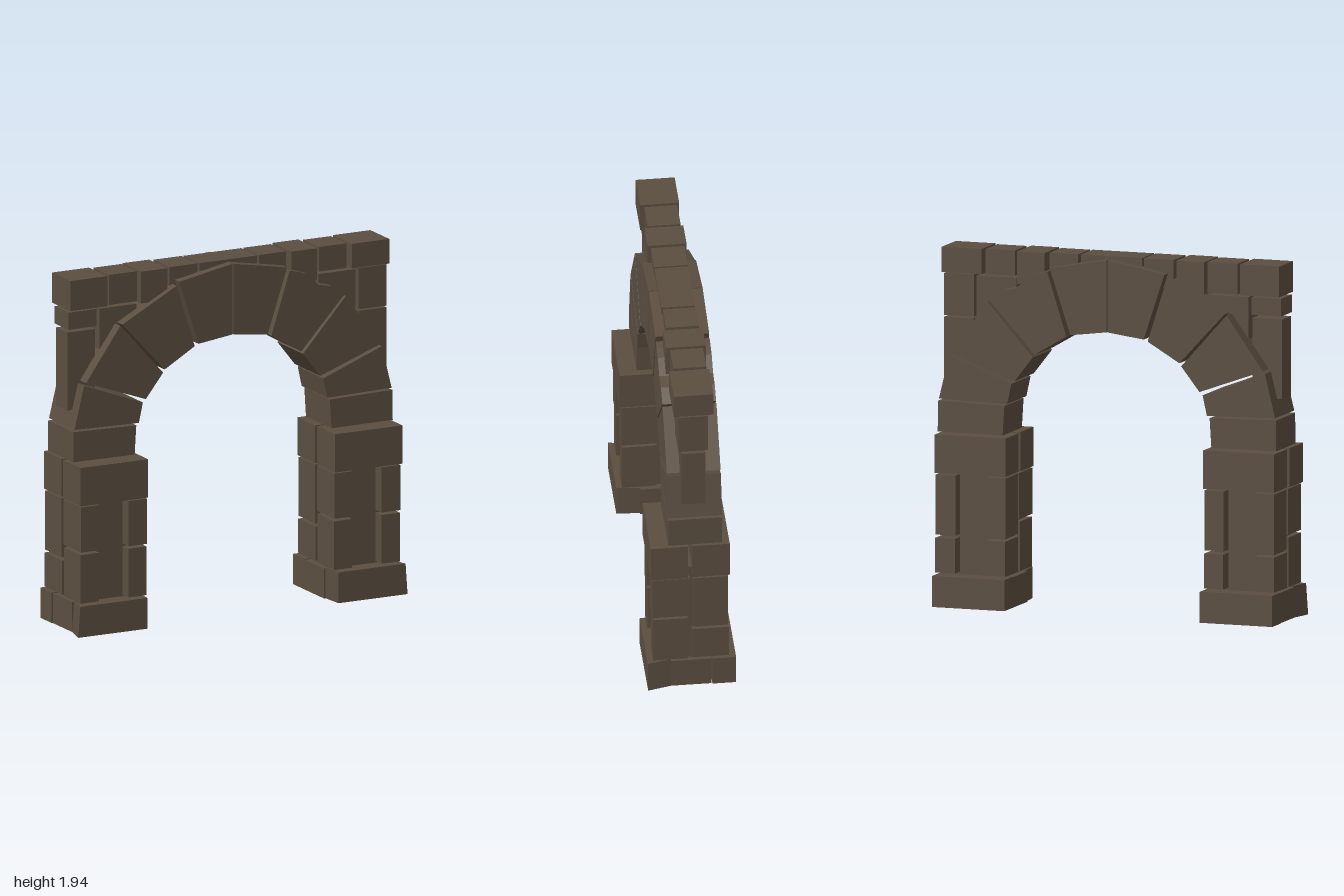
import * as THREE from 'three';

const stone = new THREE.MeshStandardMaterial({ color: 0x5b4e40 });
stone.name = 'brown stone';
stone.flatShading = true;

// Block given by its limits on each axis; side mirrors it across x = 0
function block(parent, name, side, [x0, x1], [y0, y1], [z0, z1]) {
  const mesh = new THREE.Mesh(new THREE.BoxGeometry(x1 - x0, y1 - y0, z1 - z0), stone);
  mesh.position.set(side * (x0 + x1) / 2, (y0 + y1) / 2, (z0 + z1) / 2);
  mesh.name = name;
  parent.add(mesh);
  return mesh;
}

// Outline in x, y extruded between z0 and z1
function prism(parent, name, side, points, z0, z1) {
  const shape = new THREE.Shape(points.map(([x, y]) => new THREE.Vector2(side * x, y)));
  const geo = new THREE.ExtrudeGeometry(shape, { depth: z1 - z0, bevelEnabled: false });
  geo.translate(0, 0, z0);
  const mesh = new THREE.Mesh(geo, stone);
  mesh.name = name;
  parent.add(mesh);
  return mesh;
}

function pillar(side) {
  const g = new THREE.Group();
  g.name = side > 0 ? 'leftPillar' : 'rightPillar';

  // Footing: flared front stone, middle stone, back stone
  const foot = prism(g, 'footingFront', side,
    [[0.58, -0.237], [1.0, -0.237], [0.97, -0.11], [0.57, -0.11]], 0, 0.17);
  foot.geometry.rotateX(-Math.PI / 2);
  // Lean the outer end of the front stone slightly inward at the top
  const p = foot.geometry.attributes.position;
  for (let i = 0; i < p.count; i++) {
    if (p.getY(i) > 0.1 && Math.abs(p.getX(i)) > 0.9) p.setX(i, p.getX(i) * 0.988);
  }
  foot.geometry.computeVertexNormals();
  block(g, 'footingMiddle', side, [0.56, 0.97], [0, 0.165], [-0.108, 0.11]);
  block(g, 'footingBack', side, [0.56, 0.975], [0, 0.168], [-0.24, -0.112]);

  // Recessed core
  block(g, 'core', side, [0.6, 0.94], [0.16, 0.77], [-0.125, 0.14]);

  // Corner stones, two high at the front and back
  for (const [x0, x1] of [[0.57, 0.68], [0.857, 0.97]]) {
    block(g, 'cornerStone', side, [x0, x1], [0.178, 0.447], [0.02, 0.207]);
    block(g, 'cornerStone', side, [x0, x1], [0.462, 0.712], [0.01, 0.211]);
    block(g, 'cornerStone', side, [x0, x1], [0.182, 0.37], [-0.202, -0.003]);
    block(g, 'cornerStone', side, [x0, x1], [0.387, 0.712], [-0.197, -0.01]);
  }

  // Pair of capping stones
  block(g, 'capFront', side, [0.567, 0.977], [0.72, 0.932], [0.02, 0.22]);
  block(g, 'capBack', side, [0.567, 0.972], [0.722, 0.93], [-0.206, -0.005]);
  return g;
}

// Wedge stones of one half of the arch, from the springing to the crown
const wedges = [
  [[0.97, 0.942], [0.598, 0.94], [0.588, 1.1], [0.968, 1.108]],
  [[0.963, 1.12], [0.572, 1.112], [0.548, 1.222], [0.905, 1.357]],
  [[0.893, 1.37], [0.53, 1.238], [0.425, 1.372], [0.685, 1.662]],
  [[0.673, 1.667], [0.415, 1.388], [0.233, 1.495], [0.343, 1.842]],
  [[0.328, 1.862], [0.21, 1.505], [0.003, 1.532], [0.003, 1.922]],
];

export function createModel() {
  const model = new THREE.Group();
  model.name = 'stoneArch';

  const arch = new THREE.Group();
  arch.name = 'arch';
  model.add(arch);
  for (const side of [-1, 1]) {
    model.add(pillar(side));
    wedges.forEach((pts, i) => {
      // The left haunch stone has a rough, raised upper edge
      const outline = side > 0 && i === 3
        ? [...pts, [0.39, 1.832], [0.45, 1.812], [0.52, 1.742], [0.6, 1.725]] : pts;
      prism(arch, 'wedgeStone', side, outline, -0.165, 0.125);
    });
  }

  // Wall above the arch
  const wall = new THREE.Group();
  wall.name = 'wall';
  model.add(wall);
  const top = [
    [-0.97, -0.745, 1.77, -0.12, 0.09], [-0.725, -0.555, 1.77, -0.107, 0.07],
    [-0.54, -0.38, 1.76, -0.12, 0.09], [-0.36, -0.19, 1.78, -0.107, 0.075],
    [-0.178, 0.172, 1.8, -0.105, 0.075], [0.187, 0.352, 1.78, -0.107, 0.07],
    [0.373, 0.53, 1.76, -0.125, 0.09], [0.55, 0.717, 1.8, -0.107, 0.07],
    [0.737, 0.965, 1.8, -0.12, 0.095],
  ];
  for (const [x0, x1, y0, z0, z1] of top) {
    block(wall, 'copingStone', 1, [x0, x1], [y0, 1.936], [z0, z1]);
  }
  const fill = [
    [-0.97, -0.8, 1.662, 1.757, 0.08], [-0.97, -0.8, 1.212, 1.643, 0.065],
    [-0.78, -0.555, 1.53, 1.755, 0.075],
    [0.55, 0.777, 1.53, 1.785, 0.075], [0.79, 0.962, 1.562, 1.79, 0.08],
    [0.8, 0.968, 1.212, 1.55, 0.065],
  ];
  for (const [x0, x1, y0, y1, h] of fill) {
    block(wall, 'wallStone', 1, [x0, x1], [y0, y1], [-h - 0.01, h - 0.01]);
  }
  return model;
}
